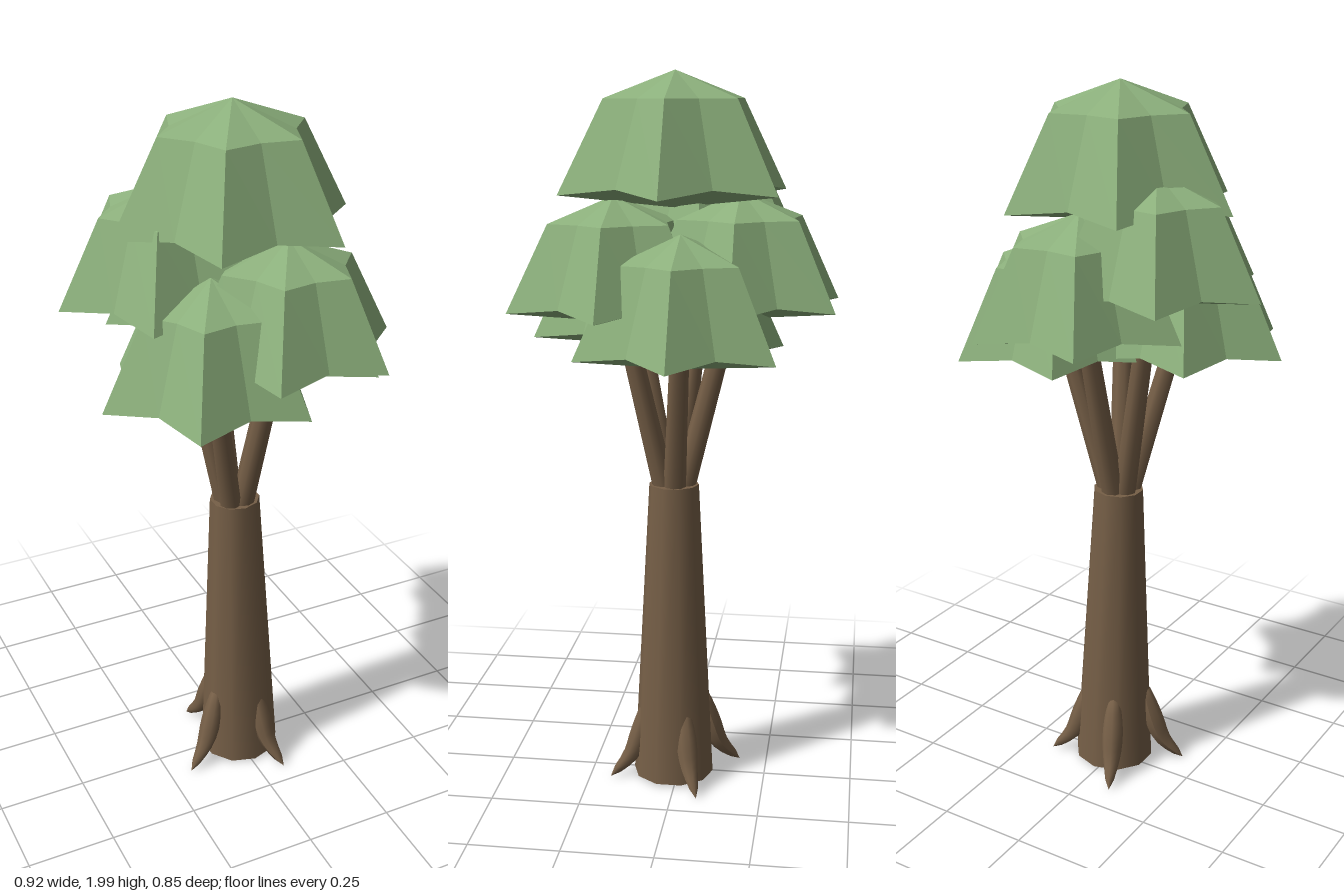
import * as THREE from 'three';

const bark = new THREE.MeshStandardMaterial({ color: 0x765f47 });
bark.name = 'bark brown';
const leaf = new THREE.MeshStandardMaterial({ color: 0x8cb07c });
leaf.name = 'leaf green';

const V = (x, y, z) => new THREE.Vector3(x, y, z);

function part(geometry, material, name) {
  const mesh = new THREE.Mesh(geometry, material);
  mesh.name = name;
  return mesh;
}

// Six-pointed faceted cap: a lathe whose every other column is pulled inward
function leafCap(r, rimY, apexY) {
  const h = apexY - rimY;
  const profile = [[0, -0.13 * h], [r, 0], [0.61 * r, 0.77 * h], [0, h]];
  const base = new THREE.LatheGeometry(
    profile.map(([x, y]) => new THREE.Vector2(x, y)), 12, Math.PI / 2);
  const pos = base.attributes.position;
  const pull = [1, 0.75, 0.78, 1];
  const lift = [0, 0.06 * h, 0, 0];
  for (let i = 0; i < pos.count; i++) {
    const column = Math.floor(i / 4), row = i % 4;
    if (column % 2 === 0) continue;
    pos.setXYZ(i, pos.getX(i) * pull[row], pos.getY(i) + lift[row], pos.getZ(i) * pull[row]);
  }
  const geometry = base.toNonIndexed();
  geometry.computeVertexNormals();
  return geometry;
}

// Tapered cylinder between two points
function limb(from, to, r0, r1, sides) {
  const dir = to.clone().sub(from);
  const geometry = new THREE.CylinderGeometry(r1, r0, dir.length(), sides);
  geometry.applyQuaternion(new THREE.Quaternion().setFromUnitVectors(V(0, 1, 0), dir.normalize()));
  const mid = from.clone().add(to).multiplyScalar(0.5);
  return geometry.translate(mid.x, mid.y, mid.z);
}

// Tube along a curve whose rings are scaled by a radius rule
function taperedTube(points, radiusAt) {
  const curve = new THREE.CatmullRomCurve3(points);
  const steps = 10, sides = 8;
  const geometry = new THREE.TubeGeometry(curve, steps, 1, sides);
  const pos = geometry.attributes.position;
  const p = V(0, 0, 0);
  for (let i = 0; i < pos.count; i++) {
    const t = Math.floor(i / (sides + 1)) / steps;
    const c = curve.getPointAt(t);
    p.fromBufferAttribute(pos, i).sub(c).multiplyScalar(radiusAt(t)).add(c);
    pos.setXYZ(i, p.x, p.y, p.z);
  }
  geometry.computeVertexNormals();
  return geometry;
}

export function createModel() {
  const tree = new THREE.Group();
  tree.name = 'tree';

  // Trunk
  tree.add(part(limb(V(0.01, 0.015, 0.015), V(-0.005, 0.88, 0.015), 0.115, 0.07, 10), bark, 'trunk'));

  // Four roots, a quarter turn apart
  const rootShape = taperedTube(
    [V(0.075, 0.26, 0), V(0.105, 0.15, 0), V(0.135, 0.075, 0), V(0.198, 0.01, 0)],
    (t) => (t === 0 || t === 1 ? 0 : 0.012 + 0.018 * Math.sin(Math.PI * Math.min(1, t * 1.1))));
  for (let i = 0; i < 4; i++) {
    const root = part(rootShape, bark, 'root');
    root.position.set(-0.005, 0, 0.01);
    root.rotation.y = -1.15 + i * Math.PI / 2;
    tree.add(root);
  }

  // Lower foliage: centre x, centre z, rim height, apex height
  const caps = [
    [0.16, -0.025, 1.28, 1.59],
    [0.07, 0.165, 1.385, 1.68],
    [-0.13, 0.14, 1.29, 1.6],
    [-0.16, -0.06, 1.495, 1.79],
    [0.002, -0.165, 1.39, 1.69],
  ];
  for (const [x, z, rimY, apexY] of caps) {
    const cap = part(leafCap(0.3, rimY, apexY), leaf, 'sideFoliage');
    cap.position.set(x, rimY, z);
    tree.add(cap);
    // Branch carrying this cap
    const start = V(-0.005 + x * 0.12, 0.84, 0.015 + z * 0.12);
    tree.add(part(limb(start, V(x, rimY + 0.08, z), 0.032, 0.025, 8), bark, 'branch'));
  }

  // Crown
  const crown = part(leafCap(0.33, 1.685, 2.0), leaf, 'topFoliage');
  crown.position.set(-0.01, 1.685, 0.012);
  tree.add(crown);

  return tree;
}
